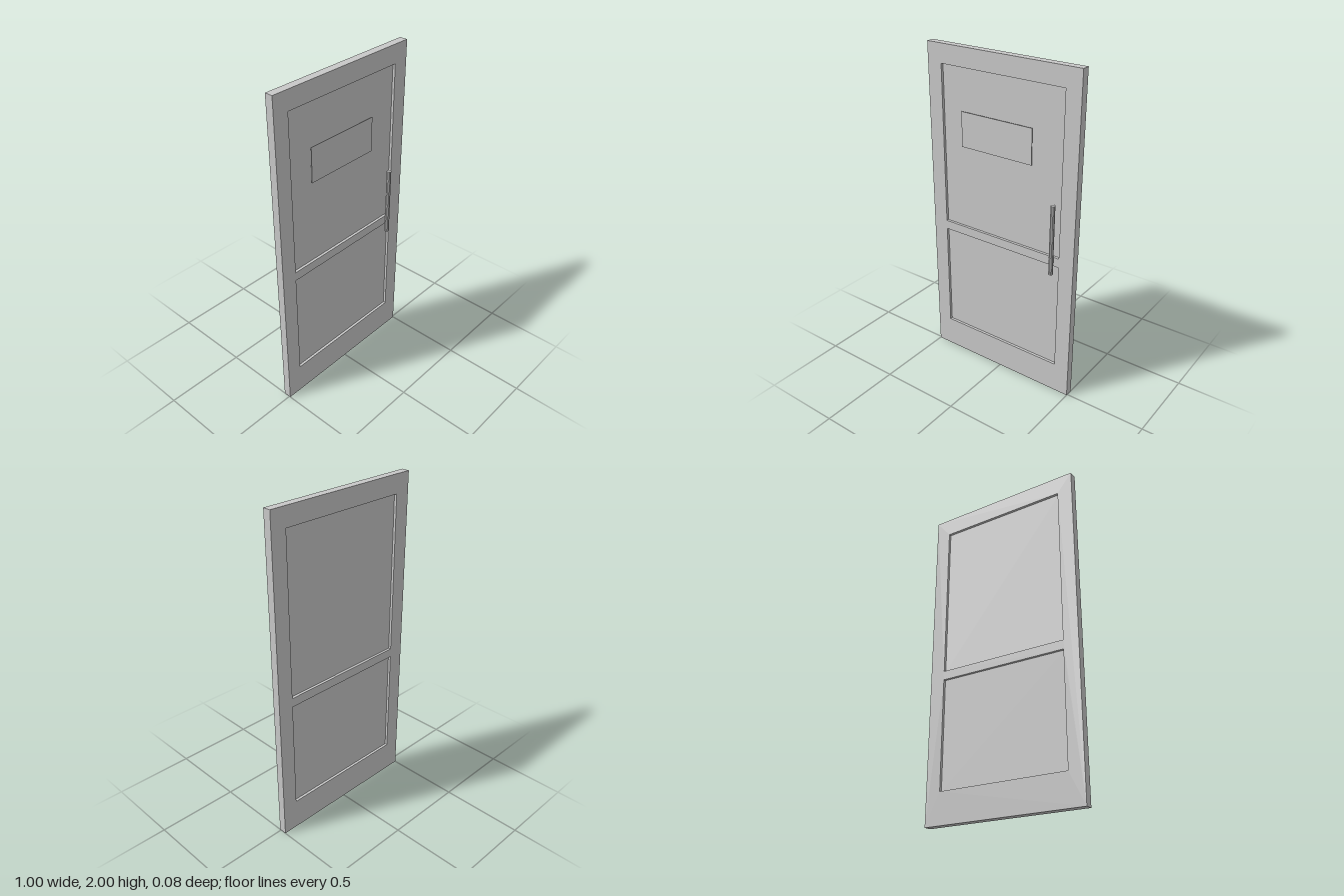
import * as THREE from 'three';

const BACK = -0.04, FRONT = 0.008, RECESS = 0.016;
// Openings of the two recessed panels: [bottom, top]
const OPENINGS = [[0.19, 0.86], [0.915, 1.887]];
const HALF_OPENING = 0.405;

function rectangle(PathType, x0, y0, x1, y1) {
  const path = new PathType();
  path.moveTo(x0, y0);
  path.lineTo(x1, y0);
  path.lineTo(x1, y1);
  path.lineTo(x0, y1);
  path.closePath();
  return path;
}

export function createModel() {
  const model = new THREE.Group();
  model.name = 'door';
  const grey = new THREE.MeshStandardMaterial({ color: 0xc8c8c8 });
  grey.name = 'light grey';

  const add = (name, geometry, x, y, z) => {
    const mesh = new THREE.Mesh(geometry, grey);
    mesh.name = name;
    mesh.position.set(x, y, z);
    model.add(mesh);
  };

  // Frame of stiles and rails, with two openings
  const outline = rectangle(THREE.Shape, -0.5, 0, 0.5, 2);
  for (const [y0, y1] of OPENINGS) {
    outline.holes.push(rectangle(THREE.Path, -HALF_OPENING, y0, HALF_OPENING, y1));
  }
  const frame = new THREE.ExtrudeGeometry(outline, { depth: FRONT - BACK, bevelEnabled: false });
  add('doorFrame', frame, 0, 0, BACK);

  // Panels set back from both faces
  const names = ['lowerPanel', 'upperPanel'];
  OPENINGS.forEach(([y0, y1], i) => {
    const panel = new THREE.BoxGeometry(2 * HALF_OPENING, y1 - y0, FRONT - BACK - 2 * RECESS);
    add(names[i], panel, 0, (y0 + y1) / 2, (FRONT + BACK) / 2);
  });

  // Thin sign plate standing just proud of the front
  add('signPlate', new THREE.BoxGeometry(0.477, 0.21, 0.004), -0.0245, 1.535, 0.0125);

  // Upright bar handle
  const bar = new THREE.CylinderGeometry(0.0135, 0.0135, 0.426, 10).toNonIndexed();
  bar.computeVertexNormals();
  add('handle', bar, 0.366, 1.026, 0.0255);

  return model;
}
